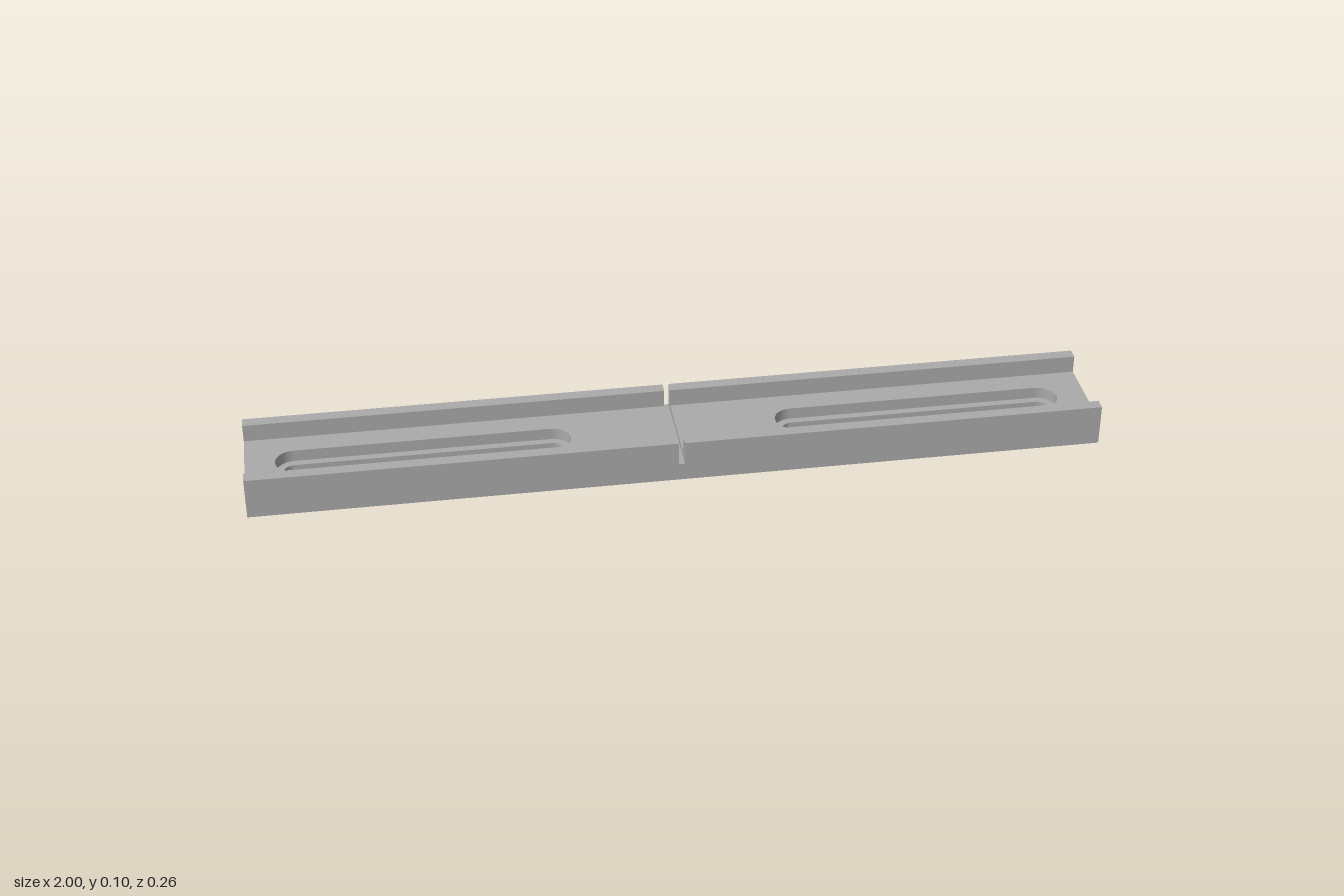
import * as THREE from 'three';
import { mergeGeometries } from 'three/addons/utils/BufferGeometryUtils.js';

// Main sizes
const L = 1, W = 0.1286, WI = 0.1, H = 0.1;       // half length, half width, inner half width, height
const FLOOR = 0.0571, CUT = 0.0429, CW = 0.0071;  // channel floor, cross cut bottom, cut half width
const LEDGE = 0.0286, R_OUT = 0.043, R_IN = 0.025; // slot recess level and radii
const SLOT_A = 0.286, SLOT_B = 0.887;             // slot end centres

const poly = (pts) => new THREE.Shape(pts.map(([x, y]) => new THREE.Vector2(x, y)));
const rect = (x0, y0, x1, y1) => poly([[x0, y0], [x1, y0], [x1, y1], [x0, y1]]);

// Counter-clockwise outline of a rounded slot
function slotPoints(r, sign = 1) {
  const pts = [], n = 16;
  for (const [cx, start] of [[SLOT_B, -Math.PI / 2], [SLOT_A, Math.PI / 2]]) {
    for (let i = 0; i <= n; i++) {
      const a = start + (Math.PI * i) / n;
      pts.push(new THREE.Vector2(sign * (cx + r * Math.cos(a)), r * Math.sin(a)));
    }
  }
  return pts;
}

// Flat face from a shape, turned and then moved into place
function face(shape, { rx = 0, ry = 0, at = [0, 0, 0] }) {
  const g = new THREE.ShapeGeometry(shape).toNonIndexed();
  g.deleteAttribute('uv');
  return g.rotateX(rx).rotateY(ry).translate(...at);
}
const UP = -Math.PI / 2, DOWN = Math.PI / 2;

// Inward-facing wall of a slot
function slotWall(r, y0, y1) {
  const pts = slotPoints(r), pos = [], nor = [];
  const add = (p, y) => {
    const c = THREE.MathUtils.clamp(p.x, SLOT_A, SLOT_B);
    pos.push(p.x, y, -p.y);
    nor.push((c - p.x) / r, 0, p.y / r);
  };
  pts.forEach((p, i) => {
    const q = pts[(i + 1) % pts.length];
    add(q, y0); add(p, y0); add(p, y1);
    add(q, y0); add(p, y1); add(q, y1);
  });
  const g = new THREE.BufferGeometry();
  g.setAttribute('position', new THREE.Float32BufferAttribute(pos, 3));
  g.setAttribute('normal', new THREE.Float32BufferAttribute(nor, 3));
  return g;
}

// U-shaped channel section starting at height y
const section = (y) => poly([[-W, y], [W, y], [W, H], [WI, H], [WI, FLOOR], [-WI, FLOOR], [-WI, H], [-W, H]]);

export function createModel() {
  const group = new THREE.Group();
  group.name = 'slottedChannelBar';
  const grey = new THREE.MeshStandardMaterial({ color: 0xaaaaaa });
  grey.name = 'grey';
  const add = (name, parts, turn = 0) => {
    const mesh = new THREE.Mesh(mergeGeometries(parts), grey);
    mesh.name = name;
    mesh.rotation.y = turn;
    group.add(mesh);
  };

  // Long sides with the notch, underside and bottom of the cross cut
  const side = poly([[-L, 0], [L, 0], [L, H], [CW, H], [CW, CUT], [-CW, CUT], [-CW, H], [-L, H]]);
  const under = rect(-L, -W, L, W);
  for (const s of [1, -1]) under.holes.push(new THREE.Path(slotPoints(R_IN, s)));
  add('outerBody', [
    face(side, { at: [0, 0, W] }),
    face(side, { ry: Math.PI, at: [0, 0, -W] }),
    face(under, { rx: DOWN }),
  ]);
  add('crossCutFloor', [face(rect(-CW, -W, CW, W), { rx: UP, at: [0, CUT, 0] })]);

  // Each half: channel floor, rails, end, cut side and recessed slot
  for (const [label, turn] of [['left', 0], ['right', Math.PI]]) {
    const floor = rect(CW, -WI, L, WI);
    floor.holes.push(new THREE.Path(slotPoints(R_OUT)));
    const ledge = new THREE.Shape(slotPoints(R_OUT));
    ledge.holes.push(new THREE.Path(slotPoints(R_IN)));

    add(label + 'Channel', [
      face(floor, { rx: UP, at: [0, FLOOR, 0] }),
      face(rect(CW, WI, L, W), { rx: UP, at: [0, H, 0] }),
      face(rect(CW, -W, L, -WI), { rx: UP, at: [0, H, 0] }),
      face(rect(CW, FLOOR, L, H), { at: [0, 0, -WI] }),
      face(rect(-L, FLOOR, -CW, H), { ry: Math.PI, at: [0, 0, WI] }),
      face(section(0), { ry: Math.PI / 2, at: [L, 0, 0] }),
      face(section(CUT), { ry: -Math.PI / 2, at: [CW, 0, 0] }),
    ], turn);
    add(label + 'Slot', [
      slotWall(R_OUT, LEDGE, FLOOR),
      slotWall(R_IN, 0, LEDGE),
      face(ledge, { rx: UP, at: [0, LEDGE, 0] }),
    ], turn);
  }
  return group;
}
